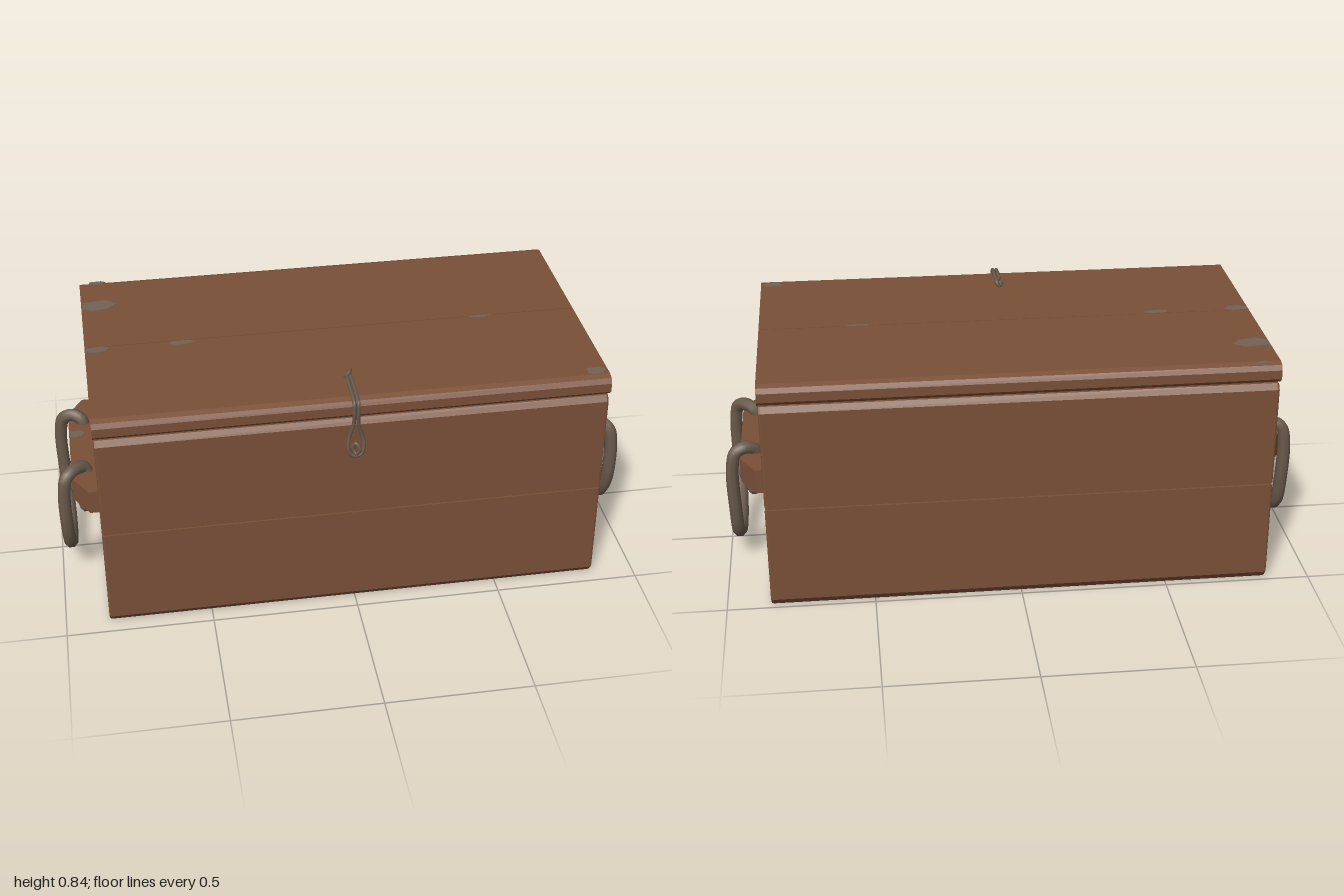
import * as THREE from 'three';

const MID = -0.0195; // z of the chest's centre plane

export function createModel() {
  const wood = new THREE.MeshStandardMaterial({ color: 0x7a5038 });
  wood.name = 'brown wood';
  const rope = new THREE.MeshStandardMaterial({ color: 0x695a4b });
  rope.name = 'grey brown rope';
  const worn = new THREE.MeshStandardMaterial({ color: 0x716255 });
  worn.name = 'worn grey';

  const chest = new THREE.Group();
  chest.name = 'chest';

  const add = (name, geometry, material, parent = chest) => {
    const mesh = new THREE.Mesh(geometry, material);
    mesh.name = name;
    parent.add(mesh);
    return mesh;
  };
  const box = (name, w, h, d, x, y, z, material = wood) =>
    add(name, new THREE.BoxGeometry(w, h, d).translate(x, y, z), material);

  // Plank running along x from a [z, y] profile
  const plank = (name, profile, length, bevel = 0) => {
    const shape = new THREE.Shape(profile.map(([z, y]) => new THREE.Vector2(-z, y)));
    const g = new THREE.ExtrudeGeometry(shape, {
      depth: length - 2 * bevel, bevelEnabled: bevel > 0, bevelThickness: bevel,
      bevelSize: bevel, bevelOffset: -bevel, bevelSegments: 2,
    });
    g.rotateY(Math.PI / 2).translate(-length / 2 + bevel, 0, 0);
    return add(name, g, wood);
  };

  const cord = (name, points, radius, parent, closed = false, segments = 100) => {
    const pts = points.map((p) => new THREE.Vector3(...p));
    const curve = new THREE.CatmullRomCurve3(pts, closed, 'centripetal');
    add(name, new THREE.TubeGeometry(curve, segments, radius, 8, closed), rope, parent);
    if (closed) return;
    for (const p of [pts[0], pts[pts.length - 1]]) {
      add(name + 'End', new THREE.SphereGeometry(radius, 8, 6).translate(p.x, p.y, p.z), rope, parent);
    }
  };

  // Front and back planks, and the two halves of the lid
  const lower = [[0.395, 0.006], [0.435, 0.004], [0.455, 0.03], [0.455, 0.372], [0.403, 0.372]];
  const upper = [[0.398, 0.377], [0.455, 0.377], [0.455, 0.725], [0.44, 0.744], [0.398, 0.744]];
  const lid = [
    [-0.018, 0.818], [0.425, 0.818], [0.445, 0.811], [0.455, 0.795], [0.455, 0.764],
    [0.44, 0.749], [0.35, 0.752], [0.35, 0.786], [0.4, 0.807], [-0.018, 0.81],
  ];
  const flip = (profile) => profile.map(([z, y]) => [2 * MID - z, y]);
  for (const [side, map] of [['front', (p) => p], ['back', flip]]) {
    plank(side + 'LowerPlank', map(lower), 1.705, 0.008);
    plank(side + 'UpperPlank', map(upper), 1.705, 0.008);
    plank(side + 'Lid', map(lid), 1.71);
  }
  box('floor', 1.68, 0.02, 0.82, 0, 0.02, MID);

  for (const s of [1, -1]) {
    const label = s > 0 ? 'left' : 'right';
    // End wall with its raised tabs and the lid's end battens
    box(label + 'EndWall', 0.04, 0.74, 0.82, s * 0.826, 0.376, MID);
    for (const t of [1, -1]) {
      box(label + 'EndTab', 0.04, 0.175, 0.19, s * 0.828, 0.698, MID + t * 0.2745);
      box(label + 'LidBatten', 0.05, 0.042, 0.167, s * 0.827, 0.774, MID + t * 0.0895);
    }

    // Chamfered cleat
    const outline = [[0.84, 0.275], [0.885, 0.275], [0.938, 0.185], [0.938, -0.22], [0.885, -0.312], [0.84, -0.312]];
    const shape = new THREE.Shape(outline.map(([x, z]) => new THREE.Vector2(s * x, -z)));
    const cleat = new THREE.ExtrudeGeometry(shape, { depth: 0.086, bevelEnabled: false });
    add(label + 'Cleat', cleat.rotateX(-Math.PI / 2).translate(0, 0.343, 0), wood);

    // Rope handle: over the cleat, hanging in a loop, knotted underneath
    const handle = new THREE.Group();
    handle.name = label + 'RopeHandle';
    chest.add(handle);
    const side = (pts) => pts.map(([x, y, z]) => [s * x, y, z]);
    cord('handleLoop', side([
      [0.9, 0.275, 0.02], [0.885, 0.3, 0.08], [0.88, 0.33, 0.145], [0.883, 0.4, 0.145],
      [0.893, 0.44, 0.138], [0.925, 0.453, 0.165], [0.956, 0.438, 0.192], [0.968, 0.38, 0.2],
      [0.968, 0.23, 0.196], [0.964, 0.15, 0.16], [0.961, 0.098, 0.085], [0.96, 0.077, -0.02],
      [0.961, 0.088, -0.1], [0.964, 0.13, -0.165], [0.967, 0.22, -0.188], [0.968, 0.38, -0.192],
      [0.954, 0.437, -0.188], [0.922, 0.453, -0.18], [0.89, 0.438, -0.165], [0.883, 0.39, -0.16],
      [0.88, 0.33, -0.16], [0.88, 0.305, -0.1], [0.888, 0.285, -0.05], [0.9, 0.265, 0],
    ]), 0.023, handle, false, 140);
    cord('knotLoop', side([
      [0.89, 0.29, -0.06], [0.915, 0.287, 0], [0.912, 0.265, 0.05], [0.9, 0.238, 0.077],
      [0.9, 0.217, 0.045], [0.905, 0.228, 0], [0.918, 0.25, -0.04], [0.905, 0.243, -0.085],
    ]), 0.022, handle, false, 60);
    cord('knotWrap', side([
      [0.878, 0.265, -0.02], [0.905, 0.312, -0.027], [0.935, 0.27, -0.022], [0.905, 0.225, -0.01],
    ]), 0.022, handle, true, 32);
  }

  // Thin cord latch over the front edge: two strands opening into a loop
  const latch = new THREE.Group();
  latch.name = 'cordLatch';
  chest.add(latch);
  const strand = [
    [0.005, 0.828, 0.31], [0.007, 0.828, 0.36], [0.007, 0.824, 0.44], [0.007, 0.816, 0.468],
    [0.007, 0.79, 0.473], [0.008, 0.735, 0.467], [0.02, 0.69, 0.462], [0.026, 0.645, 0.469],
  ];
  const other = strand.map(([x, y, z]) => [-x, y, z]).reverse();
  const place = (pts) => pts.map(([x, y, z]) => [x - 0.005, y, z]);
  cord('latchLoop', place([...strand, [0.014, 0.618, 0.472], [-0.014, 0.618, 0.472], ...other]), 0.0065, latch);
  cord('latchTopKnot', place([[0, 0.838, 0.315], [0.009, 0.836, 0.295], [0, 0.82, 0.292], [-0.009, 0.826, 0.312]]),
    0.007, latch, true, 24);
  cord('latchFrontKnot', place([[0, 0.665, 0.476], [0.01, 0.645, 0.482], [0, 0.625, 0.476], [-0.01, 0.645, 0.468]]),
    0.007, latch, true, 24);

  // Worn flecks lying on the lid and on one cleat
  const fleck = (x0, x1, z0, z1, y) => {
    const corners = [[0, 0.1], [0.7, 0], [1, 0.4], [0.75, 0.85], [0.3, 1], [0, 0.75]];
    const shape = new THREE.Shape(corners.map(([u, v]) =>
      new THREE.Vector2(x0 + u * (x1 - x0), -(z0 + v * (z1 - z0)))));
    const g = new THREE.ExtrudeGeometry(shape, { depth: 0.002, bevelEnabled: false });
    add('wornFleck', g.rotateX(-Math.PI / 2).translate(0, y, 0), worn);
  };
  fleck(-0.85, -0.73, -0.34, -0.27, 0.817);
  fleck(-0.82, -0.76, -0.485, -0.462, 0.817);
  fleck(-0.85, -0.77, -0.02, 0.02, 0.817);
  fleck(-0.565, -0.48, -0.018, 0.01, 0.817);
  fleck(0.48, 0.56, -0.022, -0.008, 0.817);
  fleck(0.785, 0.85, 0.38, 0.425, 0.817);
  fleck(-0.935, -0.88, -0.11, -0.065, 0.428);

  return chest;
}
